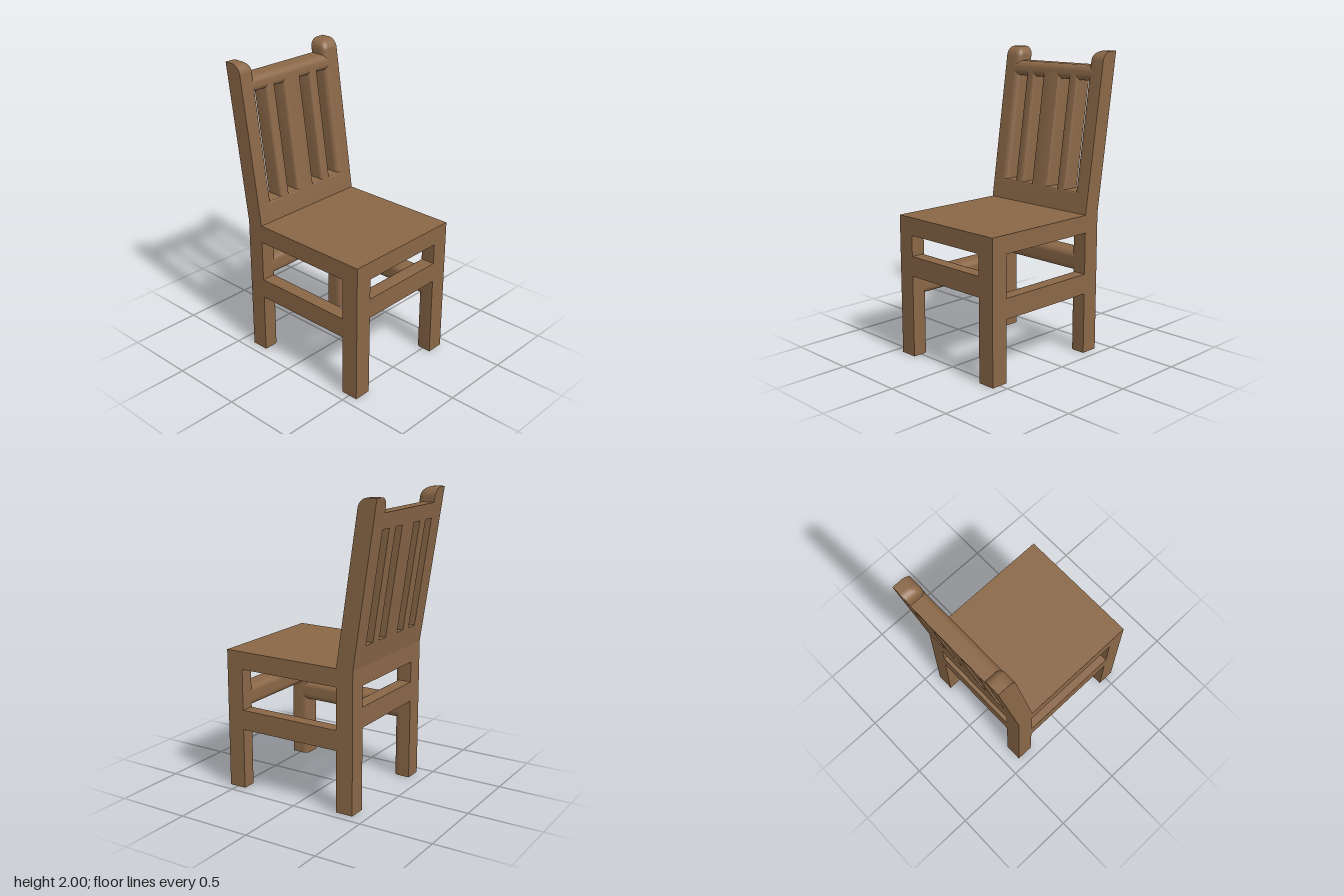
import * as THREE from 'three';
import { toCreasedNormals } from 'three/addons/utils/BufferGeometryUtils.js';

const wood = new THREE.MeshStandardMaterial({ color: 0x8a6747 });
wood.name = 'brown wood';

const W = 0.435, FRONT = 0.56, BACK = -0.405, T = 0.12, R = 0.04;
const SEAT_TOP = 0.95, SLOPE = 0.148;

// Rectangle with its own radius at each corner, counter-clockwise from (u0, v0)
function profile(u0, u1, v0, v1, [a, b, c, d]) {
  const s = new THREE.Shape();
  const arc = (x, y, r, start) => {
    if (r > 0) s.absarc(x, y, r, start, start + Math.PI / 2, false);
    else s.lineTo(x, y);
  };
  s.moveTo(u0, v0 + a);
  arc(u0 + a, v0 + a, a, Math.PI);
  arc(u1 - b, v0 + b, b, -Math.PI / 2);
  arc(u1 - c, v1 - c, c, 0);
  arc(u0 + d, v1 - d, d, Math.PI / 2);
  return s;
}

// Extrudes a profile along an axis: x uses (-z, y), y uses (x, -z), z uses (x, y)
function bar(axis, shape, from, to, steps = 1) {
  const g = new THREE.ExtrudeGeometry(shape, { depth: to - from, steps, bevelEnabled: false, curveSegments: 6 });
  g.translate(0, 0, from);
  if (axis === 'x') g.rotateY(Math.PI / 2);
  if (axis === 'y') g.rotateX(-Math.PI / 2);
  return g;
}

// Moves every vertex by a rule
function reshape(g, rule) {
  const p = g.attributes.position, v = new THREE.Vector3();
  for (let i = 0; i < p.count; i++) {
    rule(v.fromBufferAttribute(p, i));
    p.setXYZ(i, v.x, v.y, v.z);
  }
  return g;
}

const lean = (g) => reshape(g, (v) => { v.z -= SLOPE * (v.y - SEAT_TOP); });

export function createModel() {
  const model = new THREE.Group();
  model.name = 'chair';
  const add = (name, g) => {
    const m = new THREE.Mesh(toCreasedNormals(g, 0.6), wood);
    m.name = name;
    model.add(m);
  };

  // Square post profile, rounded only on the corner facing the middle of the chair
  const postShape = (sx, front) => {
    const x0 = sx > 0 ? W - T : -W;
    const v0 = front ? -FRONT : -BACK - T;
    const r = [0, 0, 0, 0];
    r[front ? (sx > 0 ? 3 : 2) : (sx > 0 ? 0 : 1)] = R;
    return profile(x0, x0 + T, v0, v0 + T, r);
  };

  // Seat slab
  const seat = new THREE.BoxGeometry(2 * W, T, FRONT - BACK);
  seat.translate(0, SEAT_TOP - T / 2, (FRONT + BACK) / 2);
  add('seat', seat);

  for (const sx of [1, -1]) {
    const side = sx > 0 ? 'left' : 'right';

    // Legs and the low side stretcher
    add(side + 'FrontLeg', bar('y', postShape(sx, true), 0, SEAT_TOP - T));
    add(side + 'BackLeg', bar('y', postShape(sx, false), 0, SEAT_TOP - T));
    const x0 = sx > 0 ? W - T : -W;
    const r = sx > 0 ? [R, 0, 0, R] : [0, R, R, 0];
    add(side + 'Stretcher', bar('z', profile(x0, x0 + T, 0.415, 0.55, r), BACK + 0.06, FRONT - 0.06));

    // Leaning back post with a rounded tip
    add(side + 'BackPost', lean(bar('y', postShape(sx, false), SEAT_TOP, 1.94)));
    const tip = bar('y', postShape(sx, false), 1.94, 2, 8);
    reshape(tip, (v) => {
      const a = (v.y - 1.94) / 0.06 * Math.PI / 2;
      const f = 0.5 + 0.5 * Math.cos(a);
      v.x = sx * W + (v.x - sx * W) * f;
      v.z = BACK + (v.z - BACK) * f;
      v.y = 1.94 + 0.06 * Math.sin(a);
    });
    add(side + 'PostTip', lean(tip));

    // Narrow slat
    const s0 = sx > 0 ? 0.155 : -0.232;
    add(side + 'Slat', lean(bar('y', profile(s0, s0 + 0.077, -BACK - T, -BACK, [0.02, 0.02, 0, 0]), 1.07, 1.85)));
  }

  // Front and back stretchers
  const inner = W - 0.06;
  add('frontStretcher', bar('x', profile(-FRONT, -FRONT + T, 0.555, 0.69, [0, R, R, 0]), -inner, inner));
  add('backStretcher', bar('x', profile(-BACK - T, -BACK, 0.555, 0.69, [R, 0, 0, R]), -inner, inner));

  // Backrest rails and wide middle slat
  const b0 = -BACK - T, b1 = -BACK;
  add('lowerBackRail', lean(bar('x', profile(b0, b1, SEAT_TOP, 1.087, [0, 0, 0, 0.008]), -inner, inner)));
  add('topBackRail', lean(bar('x', profile(b0, b1, 1.805, 1.905, [R, 0, 0, R]), -inner, inner)));
  add('middleSlat', lean(bar('y', profile(-0.077, 0.072, b0, b1, [0.02, 0.02, 0, 0]), 1.07, 1.85)));

  return model;
}
